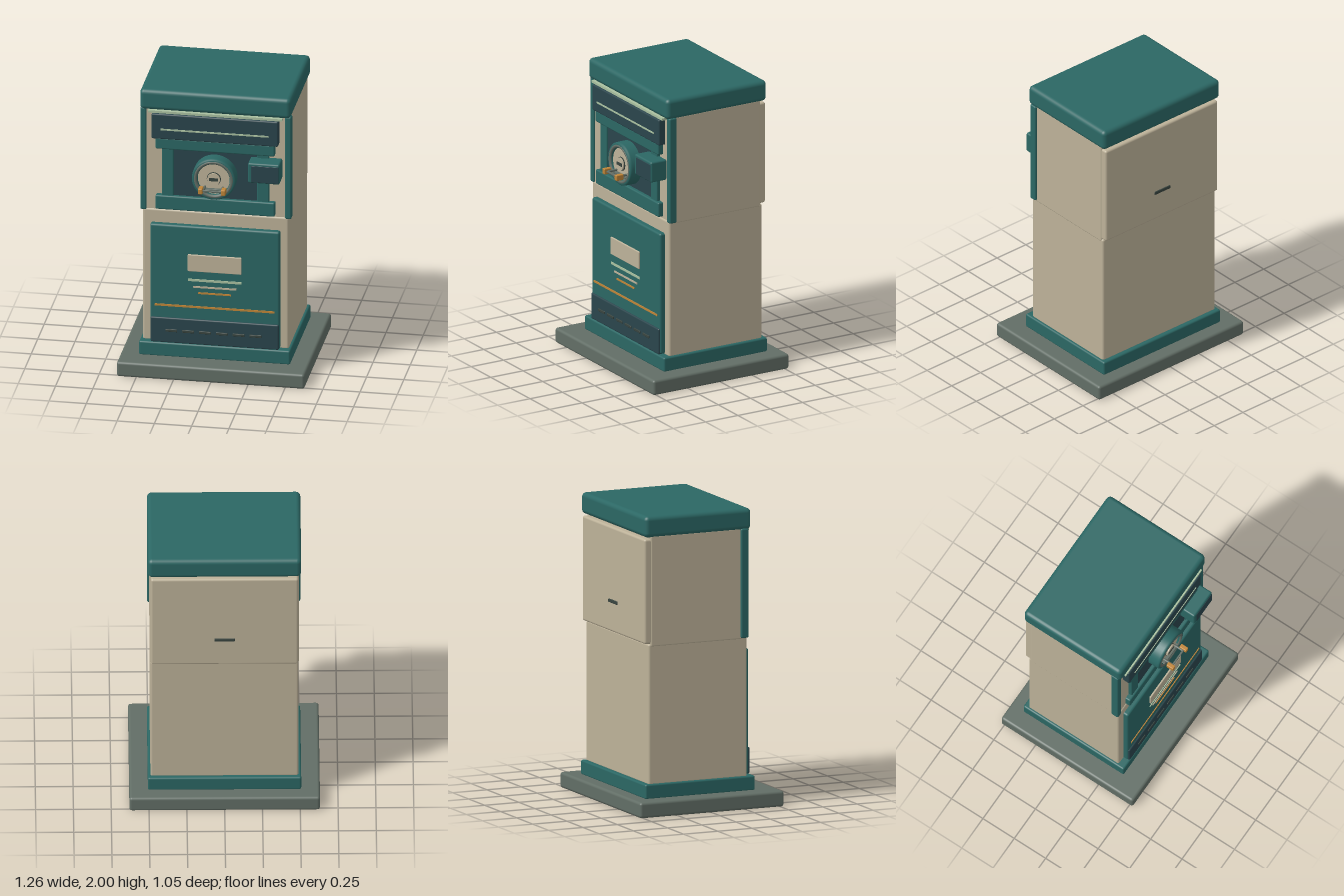
import * as THREE from 'three';
import { RoundedBoxGeometry } from 'three/addons/geometries/RoundedBoxGeometry.js';

const mat = (name, color) => {
  const m = new THREE.MeshStandardMaterial({ color });
  m.name = name;
  return m;
};

export function createModel() {
  const teal = mat('teal enamel', 0x2b6764);
  const cream = mat('cream enamel', 0xbdb299);
  const dark = mat('dark slate', 0x2a454c);
  const stone = mat('grey stone', 0x626e66);
  const iron = mat('dark iron', 0x38443f);
  const brass = mat('brass', 0xbf8538);
  const mint = mat('pale mint', 0xa9c0a0);

  const root = new THREE.Group();
  root.name = 'cabinet';

  const add = (name, geo, material, parent = root) => {
    const mesh = new THREE.Mesh(geo, material);
    mesh.name = name;
    parent.add(mesh);
    return mesh;
  };
  // Box given by its limits on each axis, with rounded edges when r > 0
  const box = (name, [x0, x1], [y0, y1], [z0, z1], material, r = 0, parent = root) => {
    const s = [x1 - x0, y1 - y0, z1 - z0];
    const geo = r ? new RoundedBoxGeometry(...s, 3, r) : new THREE.BoxGeometry(...s);
    geo.translate((x0 + x1) / 2, (y0 + y1) / 2, (z0 + z1) / 2);
    return add(name, geo, material, parent);
  };
  const wide = (h) => [-h, h];

  // Base, body and cap
  box('baseSlab', wide(0.63), [0, 0.105], wide(0.525), stone, 0.018);
  box('plinth', wide(0.507), [0.1, 0.2], [-0.43, 0.37], teal, 0.012);
  box('lowerBody', wide(0.49), [0.19, 1.14], [-0.4, 0.32], cream, 0.015);
  box('upperBody', wide(0.493), [1.12, 1.87], [-0.385, 0.312], cream, 0.012);
  box('backPanel', wide(0.488), [1.14, 1.845], [-0.428, -0.37], cream, 0.015);
  box('backSlot', wide(0.068), [1.335, 1.358], [-0.435, -0.42], iron, 0.004);
  box('topCap', wide(0.507), [1.857, 2], [-0.43, 0.345], teal, 0.03);

  // Teal uprights on the upper front corners
  for (const s of [-1, 1]) {
    const x = s < 0 ? [-0.507, -0.465] : [0.465, 0.507];
    box('cornerUpright', x, [1.13, 1.865], [0.27, 0.325], teal, 0.01);
  }

  // Upper front: header, frame and recessed panel
  box('trimStrip', wide(0.45), [1.842, 1.858], [0.3, 0.35], mint);
  box('header', wide(0.425), [1.66, 1.84], [0.3, 0.36], dark, 0.01);
  box('headerLine', wide(0.362), [1.726, 1.737], [0.357, 0.364], mint);
  box('upperRail', wide(0.4), [1.585, 1.665], [0.3, 0.352], teal, 0.01);
  box('lowerRail', wide(0.4), [1.15, 1.25], [0.3, 0.35], teal, 0.01);
  for (const s of [-1, 1]) {
    const x = s < 0 ? [-0.36, -0.28] : [0.28, 0.36];
    box('framePost', x, [1.24, 1.595], [0.3, 0.337], teal, 0.008);
  }
  box('recessPanel', wide(0.285), [1.24, 1.595], [0.3, 0.325], dark);

  // Projecting box beside the dial
  const sideBox = new THREE.Group();
  sideBox.name = 'sideBox';
  root.add(sideBox);
  box('sideBoxBody', [0.235, 0.447], [1.42, 1.563], [0.31, 0.434], teal, 0.012, sideBox);
  box('sideBoxFace', [0.258, 0.44], [1.428, 1.546], [0.429, 0.437], dark, 0.003, sideBox);

  // Dial: drum, rim, face and knob, all facing +z
  const dial = new THREE.Group();
  dial.name = 'dial';
  dial.position.set(0, 1.415, 0);
  root.add(dial);
  const drum = new THREE.LatheGeometry([
    [0.147, 0.31], [0.147, 0.392], [0.146, 0.402], [0.141, 0.408], [0.131, 0.41],
    [0.118, 0.408], [0.108, 0.4], [0.108, 0.375],
  ].map(([r, y]) => new THREE.Vector2(r, y)), 48).rotateX(Math.PI / 2);
  add('dialDrum', drum, teal, dial);
  add('dialRim', new THREE.TorusGeometry(0.123, 0.013, 12, 48).translate(0, 0, 0.4), stone, dial);
  const disc = (name, r, z0, z1, material) => add(name,
    new THREE.CylinderGeometry(r, r, z1 - z0, 40).rotateX(Math.PI / 2).translate(0, 0, (z0 + z1) / 2),
    material, dial);
  disc('dialFace', 0.11, 0.33, 0.39, cream);
  disc('knobCollar', 0.047, 0.385, 0.396, iron);
  disc('knob', 0.043, 0.385, 0.406, cream);
  box('keySlot', wide(0.031), [-0.011, 0.011], [0.402, 0.409], iron, 0, dial);

  // Handle: two stems, cross bar and brass grips
  const handle = new THREE.Group();
  handle.name = 'handle';
  handle.position.set(0, 1.355, 0);
  root.add(handle);
  box('handleBar', wide(0.075), [-0.009, 0.005], [0.455, 0.468], stone, 0.004, handle);
  box('handleFoot', wide(0.085), [-0.026, -0.008], [0.385, 0.412], stone, 0.004, handle);
  for (const s of [-1, 1]) {
    const stem = new THREE.CylinderGeometry(0.008, 0.008, 0.08, 12).rotateX(Math.PI / 2);
    add('handleStem', stem, stone, handle).position.set(s * 0.06, 0, 0.42);
    const grip = new RoundedBoxGeometry(0.03, 0.04, 0.055, 3, 0.006);
    add('handleGrip', grip, brass, handle).position.set(s * 0.077, 0, 0.457);
  }

  // Lower door with plate, stripes and vented kick panel
  box('lowerDoor', wide(0.435), [0.2, 1.045], [0.3, 0.357], teal, 0.015);
  box('doorPlateEdge', wide(0.18), [0.725, 0.845], [0.35, 0.368], cream, 0.004);
  const stripes = [[0.18, 0.661, 0.016, mint], [0.145, 0.613, 0.012, cream],
    [0.11, 0.57, 0.012, brass], [0.402, 0.468, 0.014, brass]];
  for (const [hw, y, h, m] of stripes) {
    box('doorStripe', wide(hw), [y - h / 2, y + h / 2], [0.353, 0.362], m);
  }
  box('kickPanel', wide(0.43), [0.2, 0.38], [0.31, 0.367], dark, 0.01);
  for (let i = 0; i < 6; i++) {
    const x = -0.29 + i * 0.113;
    box('ventSlot', [x - 0.04, x + 0.04], [0.281, 0.3], [0.362, 0.373], iron, 0.004);
  }
  return root;
}
